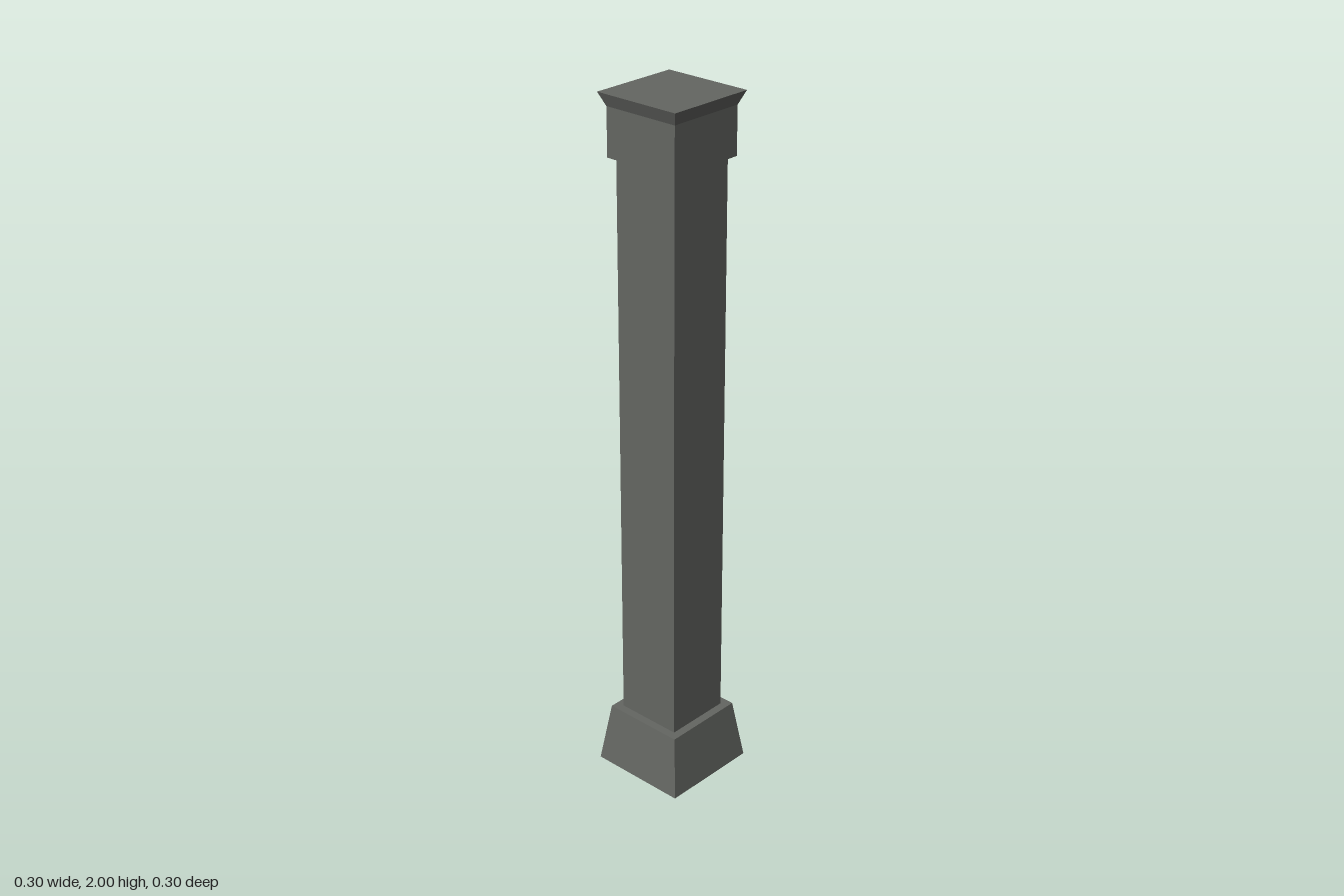
import * as THREE from 'three';

// Square loft: profile is a list of [half width, height], bottom to top
function squareLoft(name, profile, material) {
  const points = profile.map(([half, y]) => new THREE.Vector2(half * Math.SQRT2, y));
  const geometry = new THREE.LatheGeometry(points, 4, Math.PI / 4).toNonIndexed();
  geometry.computeVertexNormals(); // crisp, flat faces
  const mesh = new THREE.Mesh(geometry, material);
  mesh.name = name;
  return mesh;
}

export function createModel() {
  const stone = new THREE.MeshStandardMaterial({ color: 0x646662 });
  stone.name = 'dark grey stone';

  const pillar = new THREE.Group();
  pillar.name = 'pillar';

  // Tapered plinth
  pillar.add(squareLoft('base', [[0, 0], [0.148, 0], [0.123, 0.178], [0, 0.178]], stone));

  // Plain square shaft, open where it meets base and capital
  pillar.add(squareLoft('shaft', [[0.099, 0.178], [0.099, 1.83]], stone));

  // Block with a flared rim on top
  pillar.add(squareLoft('capital', [
    [0, 1.83], [0.115, 1.83], [0.115, 1.963], [0.131, 2], [0, 2],
  ], stone));

  return pillar;
}
